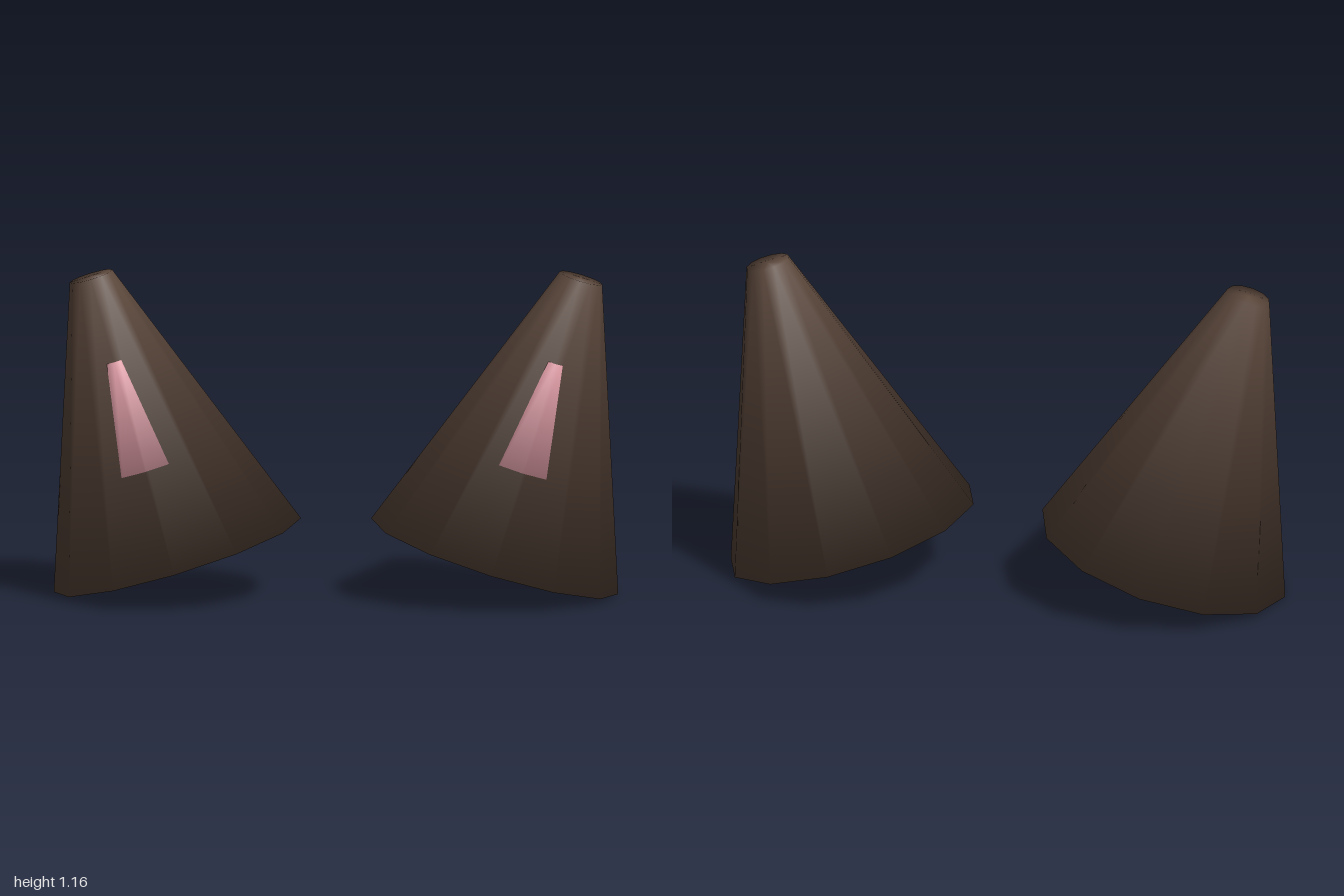
import * as THREE from 'three';

const SIDES = 12;

// Closed truncated cone standing on y = 0, shaded smoothly across its rims and caps
function softCone(topRadius, bottomRadius, height) {
  const geo = new THREE.CylinderGeometry(topRadius, bottomRadius, height, SIDES);
  const pos = geo.attributes.position;
  const normal = geo.attributes.normal;
  for (let i = 0; i < pos.count; i++) {
    const x = pos.getX(i), y = pos.getY(i), z = pos.getZ(i);
    const r = Math.hypot(x, z);
    const up = y > 0;
    if (r < 1e-5) {
      normal.setXYZ(i, 0, up ? 1 : -1, 0);
    } else {
      // the wide base bends its rim normals strongly down, the small tip only slightly up
      const out = up ? 0.91 : 0.5;
      normal.setXYZ(i, (x / r) * out, up ? 0.41 : -0.87, (z / r) * out);
    }
  }
  geo.translate(0, height / 2, 0);
  return geo;
}

export function createModel() {
  const model = new THREE.Group();
  model.name = 'pairOfEars';

  const brown = new THREE.MeshStandardMaterial({ color: 0x5c483c });
  brown.name = 'dark brown';
  const pink = new THREE.MeshStandardMaterial({ color: 0xe09ca6 });
  pink.name = 'soft pink';

  const outerGeo = softCone(0.079, 0.458, 1.045);
  const innerGeo = softCone(0.04, 0.222, 0.52);

  for (const side of [1, -1]) {
    // Each ear leans outward
    const ear = new THREE.Group();
    ear.name = side > 0 ? 'leftEar' : 'rightEar';

    const outer = new THREE.Mesh(outerGeo, brown);
    outer.name = 'outerEar';

    // Inner ear sits forward and just breaks through the front edge
    const inner = new THREE.Mesh(innerGeo, pink);
    inner.name = 'innerEar';
    inner.position.set(0, 0.2325, 0.15);

    ear.add(outer, inner);
    ear.position.set(side * 0.562, 0.134, 0);
    ear.rotation.z = -side * 0.297;
    model.add(ear);
  }
  return model;
}
